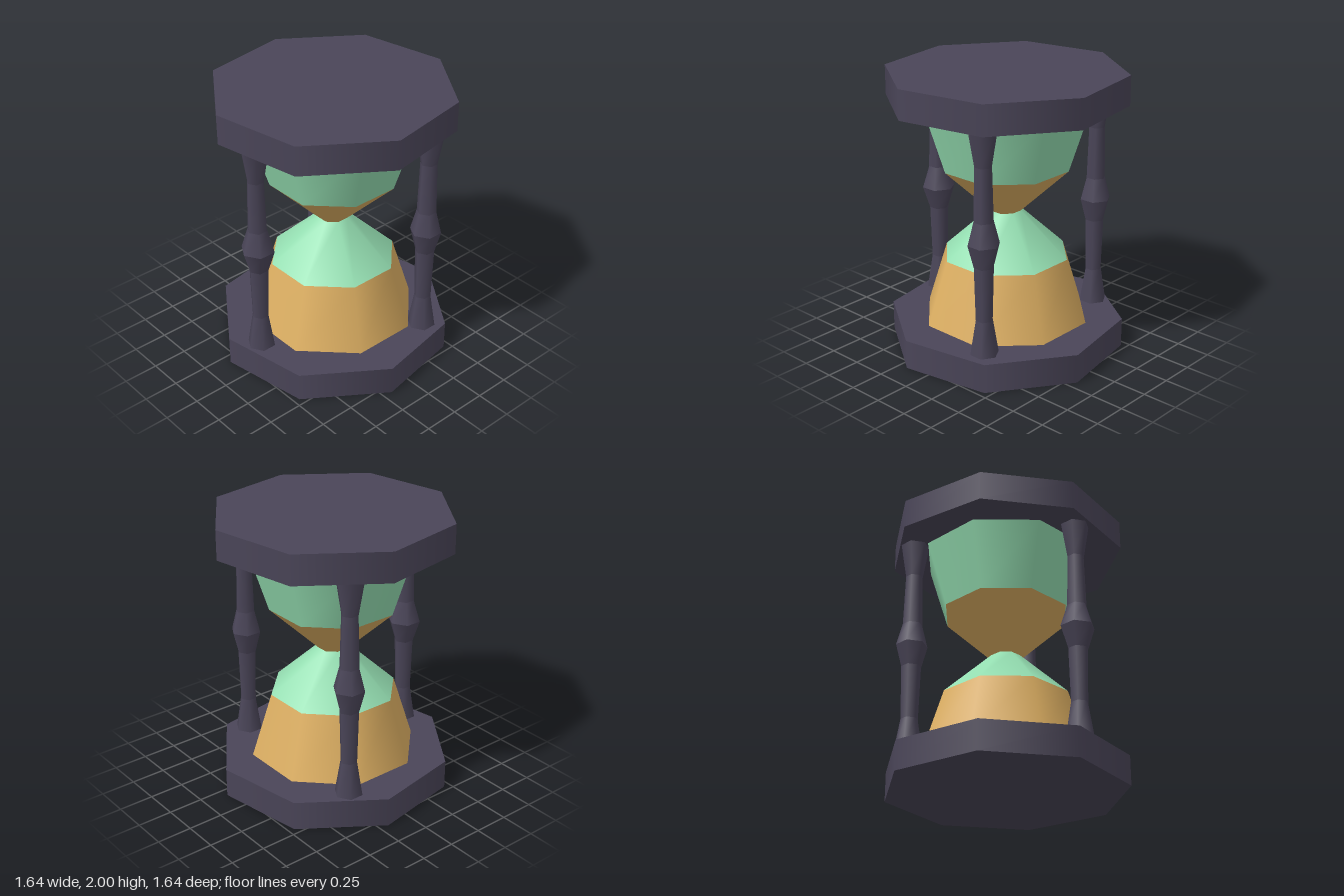
import * as THREE from 'three';
import { mergeGeometries } from 'three/addons/utils/BufferGeometryUtils.js';

const material = (name, color) => {
  const m = new THREE.MeshStandardMaterial({ color });
  m.name = name;
  return m;
};

// Stack of open rings from [radius, y] pairs: smooth around, creased between rings
function turned(profile, sides, angle = 0) {
  const bands = [];
  for (let i = 0; i < profile.length - 1; i++) {
    const [r0, y0] = profile[i], [r1, y1] = profile[i + 1];
    const band = new THREE.CylinderGeometry(r1, r0, y1 - y0, sides, 1, true);
    band.rotateY(angle);
    band.translate(0, (y0 + y1) / 2, 0);
    bands.push(band);
  }
  return mergeGeometries(bands);
}

export function createModel() {
  const group = new THREE.Group();
  group.name = 'hourglass';
  const wood = material('dark wood', 0x4a4558);
  const glass = material('green glass', 0x95dfb2);
  const sand = material('sand', 0xdeb063);

  const add = (name, geometry, mat) => {
    const mesh = new THREE.Mesh(geometry, mat);
    mesh.name = name;
    group.add(mesh);
    return mesh;
  };

  // Octagonal end plates, slightly turned
  for (const [name, y] of [['basePlate', 0.105], ['topPlate', 1.895]]) {
    const plate = new THREE.CylinderGeometry(0.84, 0.84, 0.21, 8);
    plate.rotateY(THREE.MathUtils.degToRad(-12.4));
    add(name, plate, wood).position.y = y;
  }

  // Two eight-sided bulbs meeting at the neck, each split into sand and glass
  const bulb = [
    ['lowerSand', [[0.6, 0.21], [0.454, 0.675]], sand],
    ['lowerGlass', [[0.454, 0.675], [0.11, 1]], glass],
    ['upperSand', [[0.11, 1], [0.454, 1.33]], sand],
    ['upperGlass', [[0.454, 1.33], [0.6, 1.79]], glass],
  ];
  for (const [name, profile, mat] of bulb) add(name, turned(profile, 8, Math.PI / 8), mat);

  // Three turned posts
  for (let i = 0; i < 3; i++) {
    const a = (i * Math.PI * 2) / 3;
    const bulge = i === 0 ? 0.119 : 0.11;
    const profile = [
      [0.1, 0.21], [0.059, 0.46], [0.069, 0.845], [bulge, 1.005],
      [0.069, 1.165], [0.059, 1.54], [0.1, 1.79],
    ];
    const post = add('post' + (i + 1), turned(profile, 6), wood);
    post.position.set(0.67 * Math.sin(a), 0, 0.67 * Math.cos(a));
  }
  return group;
}
